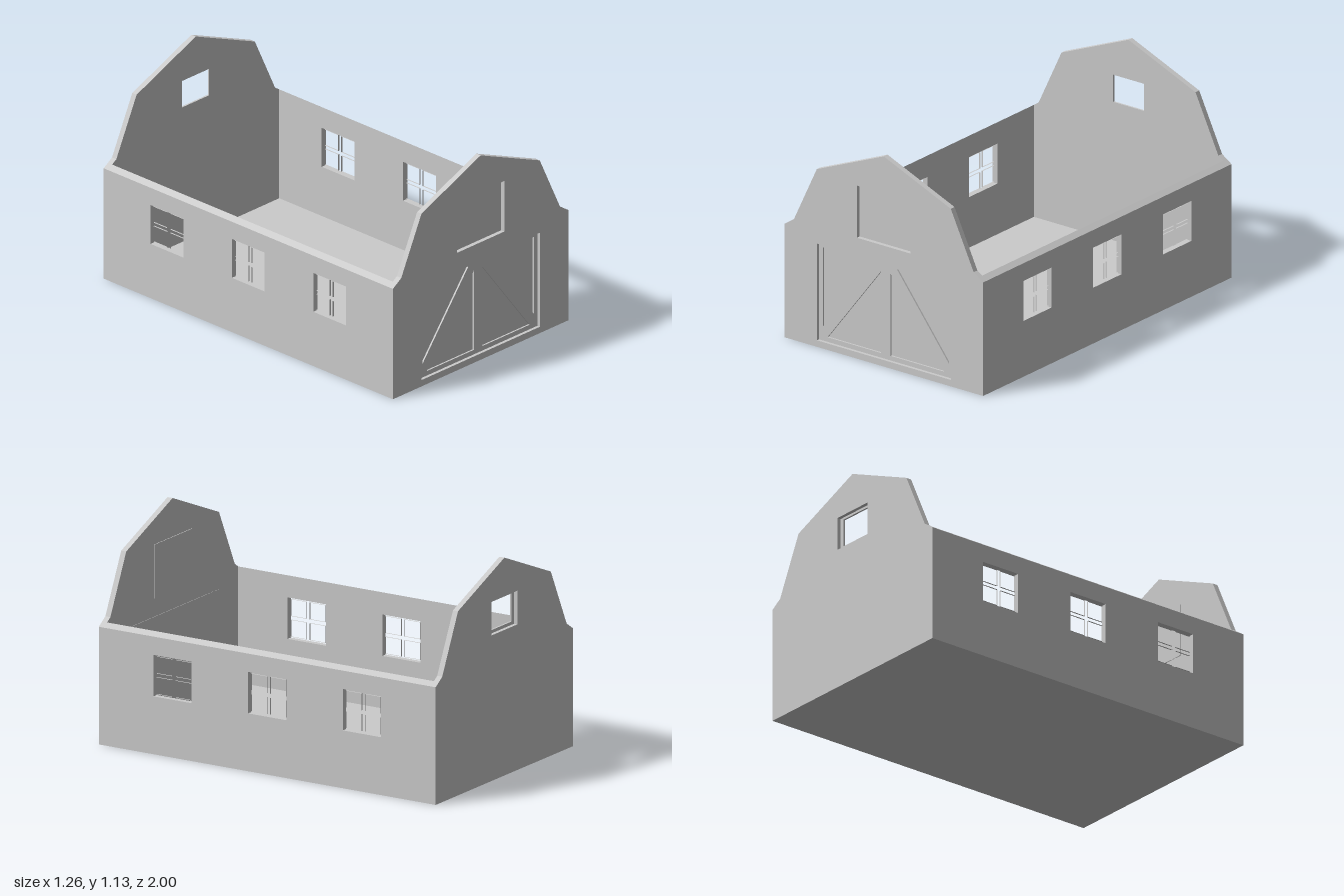
import * as THREE from 'three';

const material = new THREE.MeshStandardMaterial({ color: 0xcccccc, flatShading: true });
const thinMaterial = new THREE.MeshStandardMaterial({ color: 0xcccccc, flatShading: true, side: THREE.DoubleSide });

const HALF_W = 0.63, HALF_L = 1, WALL = 0.03, EAVE = 0.61;

const rect = (x0, x1, y0, y1) => [[x0, y0], [x1, y0], [x1, y1], [x0, y1]];
const toVectors = (points) => points.map(([x, y]) => new THREE.Vector2(x, y));

// Flat panel in the xy plane with holes, its back at z = back
function panelGeometry(outline, holes, back, depth) {
  const shape = new THREE.Shape(toVectors(outline));
  for (const hole of holes) shape.holes.push(new THREE.Path(toVectors(hole)));
  return new THREE.ExtrudeGeometry(shape, { depth, bevelEnabled: false }).translate(0, 0, back);
}

function add(parent, name, geometry, mat = material) {
  const mesh = new THREE.Mesh(geometry, mat);
  mesh.name = name;
  parent.add(mesh);
  return mesh;
}

// Gambrel outline shared by both end walls
const gable = [
  [-HALF_W, 0], [HALF_W, 0], [HALF_W, EAVE], [0.57, 0.65], [0.425, 0.955],
  [0, 1.13], [-0.425, 0.955], [-0.57, 0.65], [-HALF_W, EAVE],
];

// Long wall with three windows and a sloping top edge
function sideWall(side) {
  const group = new THREE.Group();
  group.name = side > 0 ? 'leftWall' : 'rightWall';
  const end = HALF_L - WALL;
  const centres = [-0.5625, 0, 0.5625];
  const [y0, y1, half] = [0.3, 0.515, 0.1135];
  const holes = centres.map((c) => rect(c - half, c + half, y0, y1));
  const wall = panelGeometry(rect(-end, end, 0, EAVE), holes, 0, WALL);
  // Raise the inner (or outer) top edge to follow the roof slope
  const p = wall.attributes.position;
  for (let i = 0; i < p.count; i++) {
    const inner = side > 0 ? p.getZ(i) < WALL / 2 : p.getZ(i) > WALL / 2;
    if (p.getY(i) > EAVE - 0.001 && inner) p.setY(i, EAVE + 0.02);
  }
  const x = side > 0 ? HALF_W - WALL : -HALF_W;
  wall.rotateY(Math.PI / 2).translate(x, 0, 0);
  wall.computeVertexNormals();
  add(group, 'wall', wall);

  // Thin open rims around the four panes of each window
  const t = 0.01, depth = 0.008, midY = (y0 + y1) / 2;
  for (const c of centres) {
    for (const [z0, z1] of [[c - half + t, c - t], [c + t, c + half - t]]) {
      for (const [b0, b1] of [[y0 + t, midY - t], [midY + t, y1 - t]]) {
        for (const z of [z0, z1]) {
          const strip = new THREE.PlaneGeometry(depth, b1 - b0);
          add(group, 'paneRim', strip.translate(side * 0.615, (b0 + b1) / 2, z), thinMaterial);
        }
        for (const y of [b0, b1]) {
          const strip = new THREE.PlaneGeometry(depth, z1 - z0).rotateX(Math.PI / 2);
          add(group, 'paneRim', strip.translate(side * 0.615, y, (z0 + z1) / 2), thinMaterial);
        }
      }
    }
  }
  return group;
}

// Recessed double door with a diagonal brace on each leaf
function barnDoor() {
  const group = new THREE.Group();
  group.name = 'barnDoor';
  for (const s of [-1, 1]) {
    const upper = [[0.4, 0.535], [0.07, 0.535], [0.4, 0.11]].map(([x, y]) => [s * x, y]);
    const lower = [[0.37, 0.06], [0.03, 0.06], [0.03, 0.5]].map(([x, y]) => [s * x, y]);
    const leaf = s > 0 ? rect(0, 0.425, 0.035, 0.555) : rect(-0.425, 0, 0.035, 0.555);
    const side = s > 0 ? 'left' : 'right';
    add(group, side + 'DoorFrame', panelGeometry(leaf, [upper, lower], 0.974, 0.009));
    add(group, side + 'DoorPanel', panelGeometry(leaf, [], 0.968, 0.006));
  }
  return group;
}

export function createModel() {
  const model = new THREE.Group();
  model.name = 'barn';

  // Floor between the walls
  const floor = new THREE.BoxGeometry(2 * (HALF_W - WALL), 0.028, 2 * (HALF_L - WALL));
  add(model, 'floor', floor.translate(0, 0.014, 0));

  // Front wall with its door and loft hatch
  const door = rect(-0.425, 0.425, 0.035, 0.555);
  const loft = rect(-0.17, 0.17, 0.65, 0.93);
  add(model, 'frontWall', panelGeometry(gable, [door, loft], HALF_L - WALL, WALL));
  model.add(barnDoor());
  add(model, 'loftHatch', panelGeometry(loft, [], 0.966, 0.012));

  // Back wall in two layers, so the window steps inwards
  const outerWindow = rect(-0.118, 0.118, 0.755, 0.93);
  const innerWindow = rect(-0.097, 0.097, 0.772, 0.918);
  add(model, 'backWall', panelGeometry(gable, [outerWindow], -HALF_L, WALL));
  const frame = panelGeometry(outerWindow, [innerWindow], -HALF_L + 0.02, 0.01);
  add(model, 'backWindowFrame', frame);

  for (const side of [-1, 1]) model.add(sideWall(side));
  return model;
}
